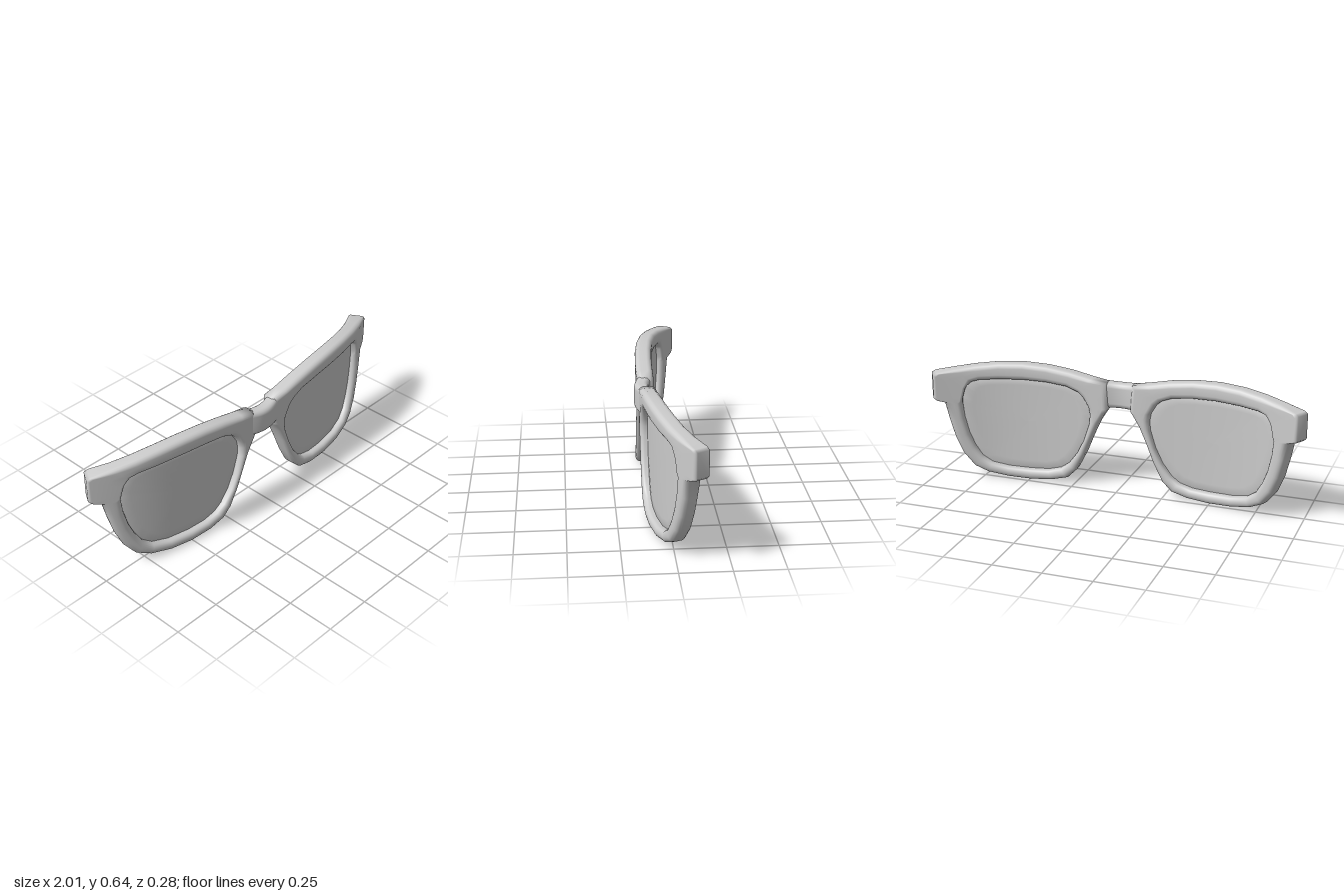
import * as THREE from 'three';

const grey = new THREE.MeshStandardMaterial({ color: 0xcccccc });
grey.name = 'grey';
grey.side = THREE.DoubleSide;

// Half of the front, clockwise: outer edge x, y and matching lens opening x, y
const STATIONS = [
  [0.07, 0.58, 0.2, 0.49], [0.15, 0.594, 0.23, 0.515], [0.27, 0.62, 0.29, 0.538],
  [0.4, 0.638, 0.4, 0.551], [0.53, 0.645, 0.53, 0.556], [0.66, 0.64, 0.66, 0.553],
  [0.78, 0.626, 0.76, 0.547], [0.88, 0.61, 0.8, 0.537], [0.972, 0.592, 0.825, 0.518],
  [0.987, 0.58, 0.835, 0.5], [0.987, 0.455, 0.848, 0.45], [0.975, 0.442, 0.85, 0.435],
  [0.935, 0.428, 0.85, 0.42], [0.915, 0.33, 0.842, 0.34], [0.89, 0.23, 0.822, 0.25],
  [0.855, 0.14, 0.795, 0.18], [0.8, 0.065, 0.76, 0.12], [0.73, 0.03, 0.71, 0.082],
  [0.62, 0.008, 0.62, 0.062], [0.5, 0, 0.5, 0.056], [0.38, 0.008, 0.4, 0.06],
  [0.29, 0.03, 0.33, 0.078], [0.24, 0.08, 0.285, 0.11], [0.19, 0.18, 0.235, 0.175],
  [0.15, 0.28, 0.195, 0.255], [0.11, 0.365, 0.165, 0.35], [0.075, 0.42, 0.162, 0.4],
  [0.06, 0.44, 0.17, 0.44],
];

// Wraps a flat point (x, y) with depth t around the face curve
function bend(x, y, t) {
  const a = Math.abs(x);
  const slope = 0.62 * Math.pow(a, 2.26);
  const len = Math.hypot(1, slope);
  const z = 0.075 - 0.19 * Math.pow(a, 3.26);
  return [x + (Math.sign(x) * slope * t) / len, y, z + t / len];
}

// Rounded cross-section from an inner to an outer point, half depth h, edge radius r
function section(inner, outer, h, r, shift = 0) {
  const w = Math.hypot(outer[0] - inner[0], outer[1] - inner[1]);
  r = Math.min(r, w * 0.42);
  const pts = [];
  const steps = 4;
  const corner = (side, sign, reverse) => {
    for (let k = 0; k <= steps; k++) {
      const q = ((reverse ? steps - k : k) / steps) * Math.PI / 2;
      const d = r - r * Math.cos(q);
      pts.push([side ? w - d : d, sign * (h - r + r * Math.sin(q))]);
    }
  };
  corner(0, 1, false);
  pts.push([w / 2, h]);
  corner(1, 1, true);
  corner(1, -1, false);
  pts.push([w / 2, -h]);
  corner(0, -1, true);
  return pts.map(([d, t]) => bend(
    inner[0] + (outer[0] - inner[0]) * d / w,
    inner[1] + (outer[1] - inner[1]) * d / w, t + shift));
}

// Skins a list of cross-sections; side -1 mirrors the result
function skin(name, rows, closed, side = 1) {
  const n = rows.length, m = rows[0].length;
  const pos = rows.flat().flatMap(([x, y, z]) => [x * side, y, z]);
  const index = [];
  for (let i = 0; i < (closed ? n : n - 1); i++) {
    for (let j = 0; j < m; j++) {
      const i2 = (i + 1) % n, j2 = (j + 1) % m;
      const a = i * m + j, b = i2 * m + j, c = i2 * m + j2, d = i * m + j2;
      if (side > 0) index.push(a, b, c, a, c, d);
      else index.push(a, c, b, a, d, c);
    }
  }
  const g = new THREE.BufferGeometry();
  g.setAttribute('position', new THREE.Float32BufferAttribute(pos, 3));
  g.setIndex(index);
  g.computeVertexNormals();
  const mesh = new THREE.Mesh(g, grey);
  mesh.name = name;
  return mesh;
}

export function createModel() {
  const group = new THREE.Group();
  group.name = 'glassesFront';

  // Rims with the squared endpieces at the temples
  const rim = STATIONS.map(([ox, oy, ix, iy]) =>
    section([ix, iy], [ox, oy], 0.044, ox > 0.95 ? 0.014 : 0.027));

  // Thin curved lenses, slightly larger than the openings
  const cx = 0.51, cy = 0.32, rings = 6;
  const lens = STATIONS.map(([, , ix, iy]) => {
    const at = (k, t) => bend(cx + (ix - cx) * 1.02 * k / rings, cy + (iy - cy) * 1.02 * k / rings, t);
    const row = [];
    for (let k = 0; k <= rings; k++) row.push(at(k, 0.006));
    for (let k = rings; k >= 0; k--) row.push(at(k, -0.006));
    return row;
  });

  for (const [label, side] of [['left', 1], ['right', -1]]) {
    group.add(skin(label + 'Rim', rim, true, side));
    group.add(skin(label + 'Lens', lens, true, side));
  }

  // Nose bridge, bulging forward between the rims
  const bridge = [];
  for (let k = -8; k <= 8; k++) {
    const x = k * 0.015;
    const top = 0.575 + 0.9 * x * x;
    const bulge = 0.03 * Math.cos((x / 0.12) * Math.PI / 2) - 0.005;
    bridge.push(section([x, 0.441], [x, top], 0.0375, 0.026, bulge));
  }
  group.add(skin('bridge', bridge, false));
  return group;
}
